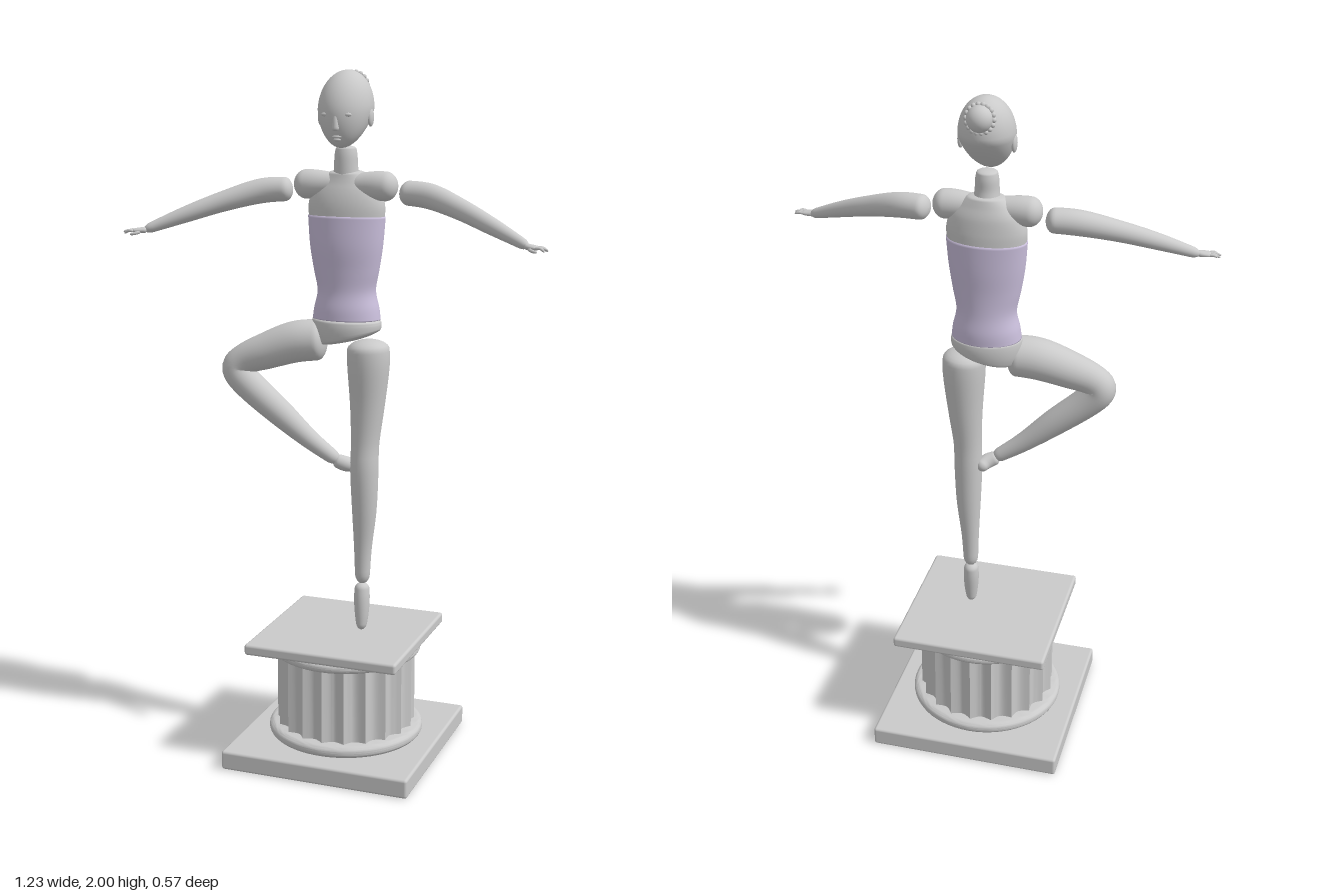
import * as THREE from 'three';
import { toCreasedNormals } from 'three/addons/utils/BufferGeometryUtils.js';
import { RoundedBoxGeometry } from 'three/addons/geometries/RoundedBoxGeometry.js';

const stone = new THREE.MeshStandardMaterial({ color: 0xcacaca });
stone.name = 'pale grey';
const lavender = new THREE.MeshStandardMaterial({ color: 0xcbc0dd });
lavender.name = 'lavender';

function add(parent, name, geometry, material = stone, x = 0, y = 0, z = 0) {
  const mesh = new THREE.Mesh(geometry, material);
  mesh.name = name;
  mesh.position.set(x, y, z);
  parent.add(mesh);
  return mesh;
}

// Closed swept form through [x, y, z, radius, depthRadius]; ends are rounded over the length "cap"
function sweep(points, cap = 0.03, around = 28, along = 40) {
  const path = new THREE.CatmullRomCurve3(points.map(p => new THREE.Vector3(p[0], p[1], p[2])), false, 'catmullrom');
  const radii = new THREE.CatmullRomCurve3(points.map(p => new THREE.Vector3(p[3], p[4] ?? p[3], 0)), false, 'catmullrom');
  const start = path.getPoint(0), end = path.getPoint(1), front = new THREE.Vector3(0, 0, 1);
  const pos = [], index = [];
  for (let i = 0; i <= along; i++) {
    const u = (1 - Math.cos(Math.PI * i / along)) / 2;
    const c = path.getPoint(u), t = path.getTangent(u), r = radii.getPoint(u);
    const a = new THREE.Vector3().crossVectors(t, front).normalize();
    const b = new THREE.Vector3().crossVectors(a, t);
    const d = Math.min(c.distanceTo(start), c.distanceTo(end));
    const k = d < cap ? Math.sqrt(Math.max(0, 1 - (1 - d / cap) ** 2)) : 1;
    for (let j = 0; j < around; j++) {
      const q = j / around * Math.PI * 2;
      const v = c.clone().addScaledVector(a, Math.cos(q) * r.x * k).addScaledVector(b, Math.sin(q) * r.y * k);
      pos.push(v.x, v.y, v.z);
      if (i < along) {
        const n = i * around + j, m = i * around + (j + 1) % around;
        index.push(n, n + around, m, m, n + around, m + around);
      }
    }
  }
  const g = new THREE.BufferGeometry();
  g.setAttribute('position', new THREE.Float32BufferAttribute(pos, 3));
  g.setIndex(index);
  g.computeVertexNormals();
  return g;
}

const blob = (rx, ry, rz) => new THREE.SphereGeometry(1, 24, 16).scale(rx, ry, rz);

// Round moulding with a bulging rim
function ring(radius, height) {
  const h = height / 2, profile = [new THREE.Vector2(0, -h)];
  for (let i = 0; i <= 10; i++) {
    const q = (i / 10 - 0.5) * Math.PI;
    profile.push(new THREE.Vector2(radius - h + Math.cos(q) * h, Math.sin(q) * h));
  }
  profile.push(new THREE.Vector2(0, h));
  return toCreasedNormals(new THREE.LatheGeometry(profile, 64), 0.6);
}

// Fluted pedestal with square slabs
function makePedestal() {
  const g = new THREE.Group();
  g.name = 'pedestal';
  add(g, 'baseSlab', new RoundedBoxGeometry(0.57, 0.057, 0.57, 3, 0.008), stone, 0, 0.0285, 0);
  add(g, 'topSlab', new RoundedBoxGeometry(0.462, 0.032, 0.462, 3, 0.008), stone, 0, 0.359, 0);
  add(g, 'lowerMoulding', ring(0.23, 0.036), stone, 0, 0.075, 0);
  add(g, 'upperMoulding', ring(0.222, 0.03), stone, 0, 0.329, 0);
  const outline = [];
  for (let i = 0; i < 160; i++) {
    const q = i / 160 * Math.PI * 2, r = 0.205 - 0.017 * Math.abs(Math.sin(q * 10));
    outline.push(new THREE.Vector2(Math.cos(q) * r, Math.sin(q) * r));
  }
  const shaft = new THREE.ExtrudeGeometry(new THREE.Shape(outline), { depth: 0.23, bevelEnabled: false });
  add(g, 'flutedShaft', toCreasedNormals(shaft.rotateX(-Math.PI / 2), 0.5), stone, 0, 0.09, 0);
  return g;
}

// Head with tapered jaw, small features and a beaded bun
function makeHead() {
  const g = new THREE.Group();
  g.name = 'head';
  const skull = new THREE.SphereGeometry(1, 40, 32), p = skull.attributes.position;
  for (let i = 0; i < p.count; i++) {
    const y = p.getY(i), down = Math.max(0, -y), up = Math.max(0, y);
    p.setXYZ(i, p.getX(i) * 0.077 * (1 - 0.15 * down), y * 0.105,
      p.getZ(i) * 0.088 * (1 - 0.3 * down) + 0.038 * down - 0.015 * up);
  }
  skull.computeVertexNormals();
  add(g, 'skull', skull, stone, 0, 1.895, 0);
  add(g, 'nose', sweep([[0, 1.888, 0.08, 0.006], [0, 1.865, 0.084, 0.008], [0, 1.838, 0.084, 0.011]], 0.008, 14, 16));
  add(g, 'upperLip', blob(0.014, 0.005, 0.008), stone, 0, 1.822, 0.073);
  add(g, 'lowerLip', blob(0.011, 0.005, 0.008), stone, 0, 1.814, 0.07);
  for (const s of [-1, 1]) {
    add(g, 'eye', blob(0.013, 0.006, 0.006), stone, s * 0.031, 1.882, 0.077);
    add(g, 'ear', blob(0.008, 0.026, 0.016), stone, s * 0.073, 1.873, 0.002);
  }
  // Bun tilted up and back
  const bun = new THREE.Group();
  bun.name = 'hairBun';
  bun.position.set(0, 1.957, -0.074);
  bun.rotation.x = 0.25;
  g.add(bun);
  add(bun, 'bun', blob(0.036, 0.036, 0.034));
  for (let i = 0; i < 18; i++) {
    const q = i / 18 * Math.PI * 2;
    add(bun, 'bead', new THREE.SphereGeometry(0.0072, 12, 8), stone, Math.cos(q) * 0.037, Math.sin(q) * 0.037, 0);
  }
  return g;
}

// Outstretched arm and hand on side s
function makeArm(s) {
  const g = new THREE.Group();
  g.name = s > 0 ? 'leftArm' : 'rightArm';
  const m = rows => rows.map(([x, ...rest]) => [s * x, ...rest]);
  add(g, 'shoulder', sweep(m([[0.005, 1.685, 0, 0.03], [0.05, 1.686, 0.002, 0.036], [0.1, 1.686, 0.003, 0.041],
    [0.152, 1.684, 0.002, 0.04]]), 0.034));
  add(g, 'arm', sweep(m([[0.162, 1.67, -0.004, 0.034, 0.037], [0.25, 1.663, 0.014, 0.035], [0.35, 1.634, 0.054, 0.029],
    [0.45, 1.597, 0.098, 0.023], [0.56, 1.553, 0.143, 0.013]]), 0.024));
  add(g, 'palm', sweep(m([[0.55, 1.555, 0.143, 0.009, 0.01], [0.57, 1.553, 0.15, 0.008, 0.015],
    [0.59, 1.552, 0.154, 0.006, 0.015]]), 0.008, 16, 16));
  [0.608, 0.615, 0.616, 0.609].forEach((tip, i) => {
    const z = 0.143 + i * 0.0078;
    add(g, 'finger', sweep(m([[0.582, 1.552, z, 0.0042], [0.597, 1.553, z + 0.001, 0.004],
      [tip, 1.549 - i % 2 * 0.004, z + 0.001, 0.0032]]), 0.005, 10, 12));
  });
  add(g, 'thumb', sweep(m([[0.564, 1.55, 0.158, 0.005], [0.575, 1.546, 0.169, 0.0045], [0.59, 1.543, 0.172, 0.0035]]), 0.005, 10, 12));
  return g;
}

// Torso, neck and bodice
function makeTorso() {
  const g = new THREE.Group();
  g.name = 'torso';
  add(g, 'hips', sweep([[0.008, 1.243, -0.005, 0.088, 0.068], [0.003, 1.265, -0.005, 0.099, 0.075],
    [0, 1.29, -0.005, 0.102, 0.077], [0, 1.318, -0.005, 0.099, 0.073]], 0.014, 40));
  add(g, 'bodice', sweep([[0, 1.304, -0.005, 0.1, 0.074], [0, 1.34, -0.006, 0.095, 0.073], [0, 1.39, -0.006, 0.085, 0.066],
    [0, 1.45, -0.004, 0.096, 0.066], [0, 1.52, -0.003, 0.107, 0.069], [0, 1.605, -0.005, 0.114, 0.067]], 0.004, 40), lavender);
  add(g, 'chest', sweep([[0, 1.585, -0.005, 0.11, 0.065], [0, 1.63, -0.005, 0.112, 0.063], [0, 1.67, -0.007, 0.1, 0.056],
    [0, 1.7, -0.007, 0.075, 0.046], [0, 1.728, -0.006, 0.045, 0.038]], 0.008, 40));
  add(g, 'neck', sweep([[0, 1.69, -0.005, 0.04], [0, 1.735, 0, 0.034], [0, 1.77, 0, 0.032], [0, 1.795, 0, 0.027]], 0.008));
  return g;
}

// Standing leg on pointed toe, and the bent leg with its foot at the other knee
function makeLegs() {
  const g = new THREE.Group();
  g.name = 'legs';
  add(g, 'standingLeg', sweep([[0.066, 1.253, 0, 0.06], [0.068, 1.18, 0, 0.061], [0.065, 1.06, 0, 0.05],
    [0.06, 0.95, 0.004, 0.041, 0.042], [0.059, 0.87, 0.007, 0.041, 0.043], [0.058, 0.75, 0.004, 0.036],
    [0.053, 0.63, 0.001, 0.026], [0.051, 0.522, 0, 0.021]], 0.03));
  add(g, 'standingFoot', sweep([[0.051, 0.526, 0.002, 0.02, 0.022], [0.052, 0.48, 0.006, 0.023, 0.025],
    [0.053, 0.43, 0.01, 0.02, 0.022], [0.053, 0.383, 0.013, 0.013, 0.016]], 0.018));
  add(g, 'bentLeg', sweep([[-0.055, 1.246, 0.012, 0.058], [-0.14, 1.238, 0.025, 0.06], [-0.23, 1.207, 0.04, 0.053],
    [-0.295, 1.18, 0.048, 0.045], [-0.317, 1.15, 0.05, 0.045], [-0.28, 1.105, 0.05, 0.044], [-0.19, 1.03, 0.044, 0.039],
    [-0.1, 0.955, 0.035, 0.028], [-0.012, 0.893, 0.026, 0.019]], 0.028, 28, 64));
  add(g, 'bentFoot', sweep([[-0.028, 0.899, 0.028, 0.019], [0.005, 0.885, 0.014, 0.022], [0.022, 0.875, -0.016, 0.017]], 0.014));
  return g;
}

export function createModel() {
  const model = new THREE.Group();
  model.name = 'dancerStatue';
  model.add(makePedestal(), makeLegs(), makeTorso(), makeArm(1), makeArm(-1), makeHead());
  return model;
}
